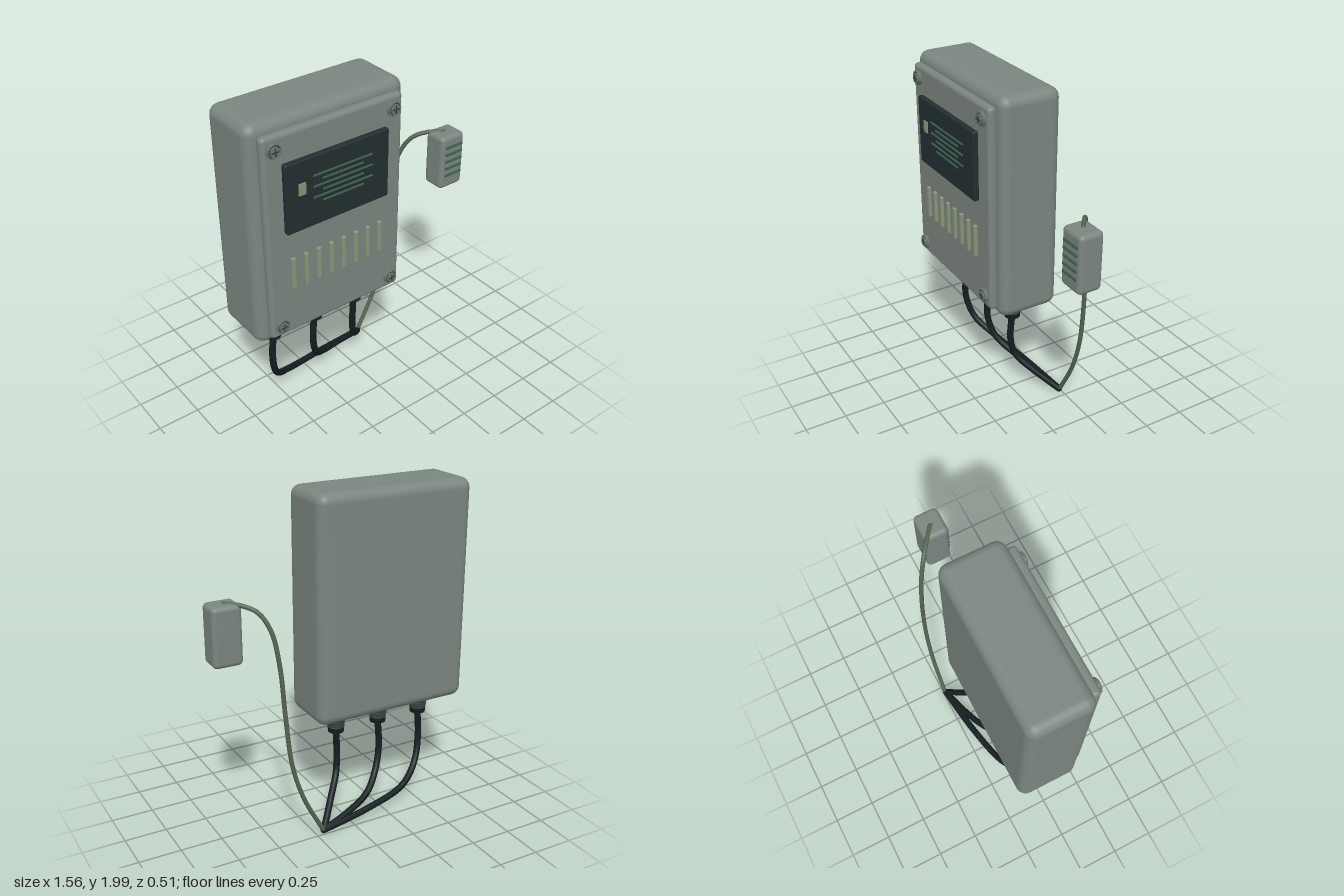
import * as THREE from 'three';
import { RoundedBoxGeometry } from 'three/addons/geometries/RoundedBoxGeometry.js';

const paint = (name, color) => {
  const m = new THREE.MeshStandardMaterial({ color });
  m.name = name;
  return m;
};

export function createModel() {
  const mats = {
    housing: paint('housing grey', 0x7b857f),
    screen: paint('screen black', 0x222e30),
    text: paint('display green', 0x3f6350),
    pale: paint('pale green', 0x87947a),
    gland: paint('gland green', 0x35433c),
    cable: paint('cable black', 0x141d1f),
    lead: paint('lead green', 0x566350),
    screw: paint('screw grey', 0x6a756f),
    recess: paint('recess dark', 0x2c3833),
  };
  const model = new THREE.Group();
  model.name = 'wallControlBox';

  const add = (parent, name, geometry, material, x = 0, y = 0, z = 0) => {
    const mesh = new THREE.Mesh(geometry, material);
    mesh.name = name;
    mesh.position.set(x, y, z);
    parent.add(mesh);
    return mesh;
  };
  // Box given by its limits on each axis, with optional rounded edges
  const block = (parent, name, material, [x0, x1], [y0, y1], [z0, z1], r = 0) => {
    const size = [x1 - x0, y1 - y0, z1 - z0];
    const geometry = r ? new RoundedBoxGeometry(...size, 5, r) : new THREE.BoxGeometry(...size);
    return add(parent, name, geometry, material, (x0 + x1) / 2, (y0 + y1) / 2, (z0 + z1) / 2);
  };
  const tube = (name, material, points, radius) => {
    const curve = new THREE.CatmullRomCurve3(points.map(p => new THREE.Vector3(...p)));
    add(model, name, new THREE.TubeGeometry(curve, 64, radius, 12), material);
    for (const p of [points[0], points.at(-1)])
      add(model, name + 'End', new THREE.SphereGeometry(radius, 12, 8), material, ...p);
  };

  // Housing and front cover
  block(model, 'housing', mats.housing, [-0.78, 0.203], [0.665, 2], [-0.205, 0.168], 0.06);
  block(model, 'cover', mats.housing, [-0.725, 0.15], [0.72, 1.945], [0.16, 0.216], 0.024);

  // Display panel with its icon and rows
  const display = new THREE.Group();
  display.name = 'display';
  model.add(display);
  block(display, 'screen', mats.screen, [-0.617, 0.037], [1.375, 1.782], [0.212, 0.248], 0.01);
  block(display, 'icon', mats.pale, [-0.543, -0.5], [1.588, 1.655], [0.247, 0.255]);
  for (let i = 0; i < 6; i++) {
    const half = i % 2 ? 0.13 : 0.188, y = 1.673 - i * 0.032;
    block(display, 'displayRow', mats.text, [-0.265 - half, -0.265 + half], [y - 0.004, y + 0.004], [0.247, 0.255]);
  }

  // Vertical vent bars on the cover
  for (let i = 0; i < 8; i++) {
    const x = -0.575 + i * 0.082;
    block(model, 'ventBar', mats.pale, [x - 0.013, x + 0.013], [1.01, 1.21], [0.21, 0.234], 0.006);
  }

  // Cover screws: washer, raised rim, head and cross slot
  for (const x of [-0.66, 0.085]) for (const y of [0.795, 1.87]) {
    const screw = new THREE.Group();
    screw.name = 'coverScrew';
    screw.position.set(x, y, 0.214);
    model.add(screw);
    const disc = (name, r, depth, material) =>
      add(screw, name, new THREE.CylinderGeometry(r, r, depth, 24).rotateX(Math.PI / 2), material, 0, 0, depth / 2);
    disc('washer', 0.042, 0.016, mats.screw);
    disc('seat', 0.034, 0.018, mats.recess);
    disc('head', 0.029, 0.026, mats.screw);
    add(screw, 'rim', new THREE.TorusGeometry(0.037, 0.005, 6, 24), mats.screw, 0, 0, 0.015);
    add(screw, 'slotAcross', new THREE.BoxGeometry(0.044, 0.006, 0.004), mats.recess, 0, 0, 0.0265);
    add(screw, 'slotUp', new THREE.BoxGeometry(0.006, 0.044, 0.004), mats.recess, 0, 0, 0.0265);
  }

  // Cable glands: ribbed taper with a dark end ring
  const glandX = [-0.58, -0.29, 0], glandZ = -0.017;
  for (const x of glandX) {
    const gland = new THREE.Group();
    gland.name = 'cableGland';
    gland.position.set(x, 0, glandZ);
    model.add(gland);
    add(gland, 'collar', new THREE.CylinderGeometry(0.06, 0.058, 0.035, 12), mats.gland, 0, 0.652, 0);
    add(gland, 'taper', new THREE.CylinderGeometry(0.054, 0.046, 0.085, 24), mats.gland, 0, 0.6, 0);
    for (let i = 0; i < 5; i++)
      add(gland, 'rib', new THREE.TorusGeometry(0.054 - i * 0.002, 0.005, 6, 24).rotateX(Math.PI / 2),
        mats.gland, 0, 0.63 - i * 0.016, 0);
    add(gland, 'endRing', new THREE.CylinderGeometry(0.05, 0.047, 0.03, 24), mats.cable, 0, 0.546, 0);
  }

  // Three heavy cables gathering behind the right corner
  const joint = [0.203, 0.026, -0.236];
  const bends = [
    [[-0.592, 0.35, -0.017], [-0.545, 0.2, -0.055], [-0.41, 0.105, -0.13], [-0.12, 0.056, -0.195]],
    [[-0.302, 0.35, -0.017], [-0.26, 0.215, -0.05], [-0.155, 0.118, -0.125], [0.02, 0.064, -0.19]],
    [[-0.009, 0.35, -0.012], [0.012, 0.245, -0.035], [0.09, 0.145, -0.115], [0.15, 0.08, -0.18]],
  ];
  bends.forEach((bend, i) =>
    tube('heavyCable', mats.cable, [[glandX[i], 0.55, glandZ], ...bend, joint], 0.02));

  // Thin lead rising to the remote sensor
  tube('sensorLead', mats.lead, [
    [0.203, 0.022, -0.24], [0.33, 0.27, -0.24], [0.4, 0.5, -0.237], [0.433, 0.8, -0.231],
    [0.453, 1.1, -0.215], [0.484, 1.3, -0.185], [0.535, 1.4, -0.14], [0.6, 1.435, -0.09], [0.68, 1.445, -0.025],
  ], 0.013);

  // Remote sensor with horizontal grille bars
  const sensor = new THREE.Group();
  sensor.name = 'remoteSensor';
  model.add(sensor);
  block(sensor, 'sensorCase', mats.housing, [0.604, 0.778], [1.1, 1.446], [-0.093, 0.056], 0.028);
  for (let i = 0; i < 5; i++) {
    const y = 1.378 - i * 0.0465;
    block(sensor, 'grilleBar', mats.text, [0.632, 0.755], [y - 0.007, y + 0.007], [0.05, 0.064]);
  }
  return model;
}
